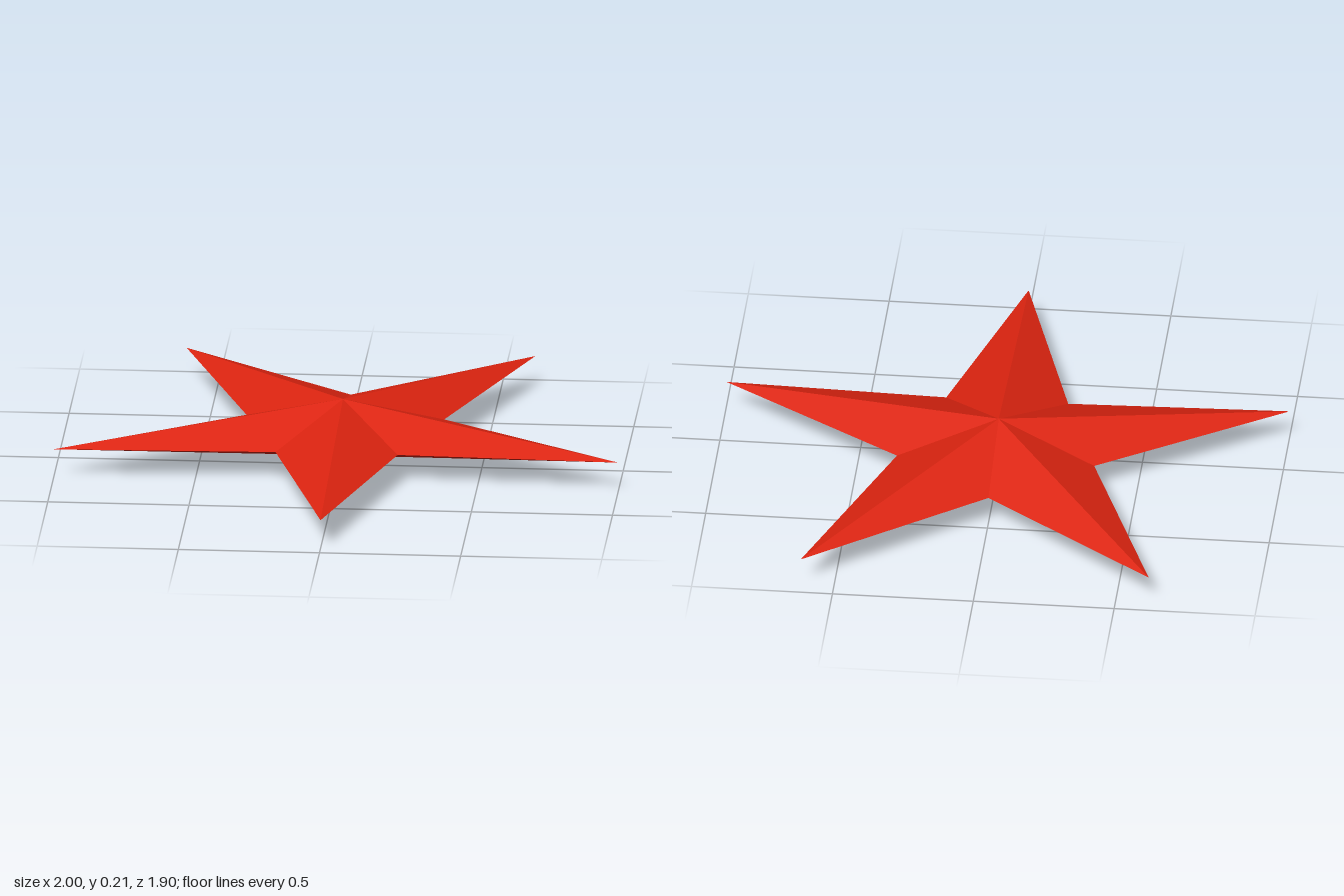
import * as THREE from 'three';

const OUTER = 1.051, INNER = 0.368; // tip and notch radii
const HALF = 0.105;                 // height of each pyramid half
const CENTRE_Z = -0.1;              // places the bounding box on the origin

// Rim point i: even = tip, odd = notch, starting at the front tip
function rimPoint(i) {
  const a = (i * Math.PI) / 5;
  const r = i % 2 === 0 ? OUTER : INNER;
  return [r * Math.sin(a), 0, r * Math.cos(a)];
}

// Ten flat facets rising (side = 1) or falling (side = -1) from rim to apex
function starHalf(side) {
  const positions = [];
  for (let i = 0; i < 10; i++) {
    const a = rimPoint(i), b = rimPoint((i + 1) % 10);
    const [first, second] = side > 0 ? [a, b] : [b, a];
    positions.push(0, side * HALF, 0, ...first, ...second);
  }
  const geometry = new THREE.BufferGeometry();
  geometry.setAttribute('position', new THREE.Float32BufferAttribute(positions, 3));
  geometry.computeVertexNormals();
  return geometry;
}

export function createModel() {
  const red = new THREE.MeshStandardMaterial({ color: 0xdd2410 });
  red.name = 'red';

  const group = new THREE.Group();
  group.name = 'star';
  for (const [name, side] of [['upperFacets', 1], ['lowerFacets', -1]]) {
    const mesh = new THREE.Mesh(starHalf(side), red);
    mesh.name = name;
    mesh.position.set(0, HALF, CENTRE_Z);
    group.add(mesh);
  }
  return group;
}
